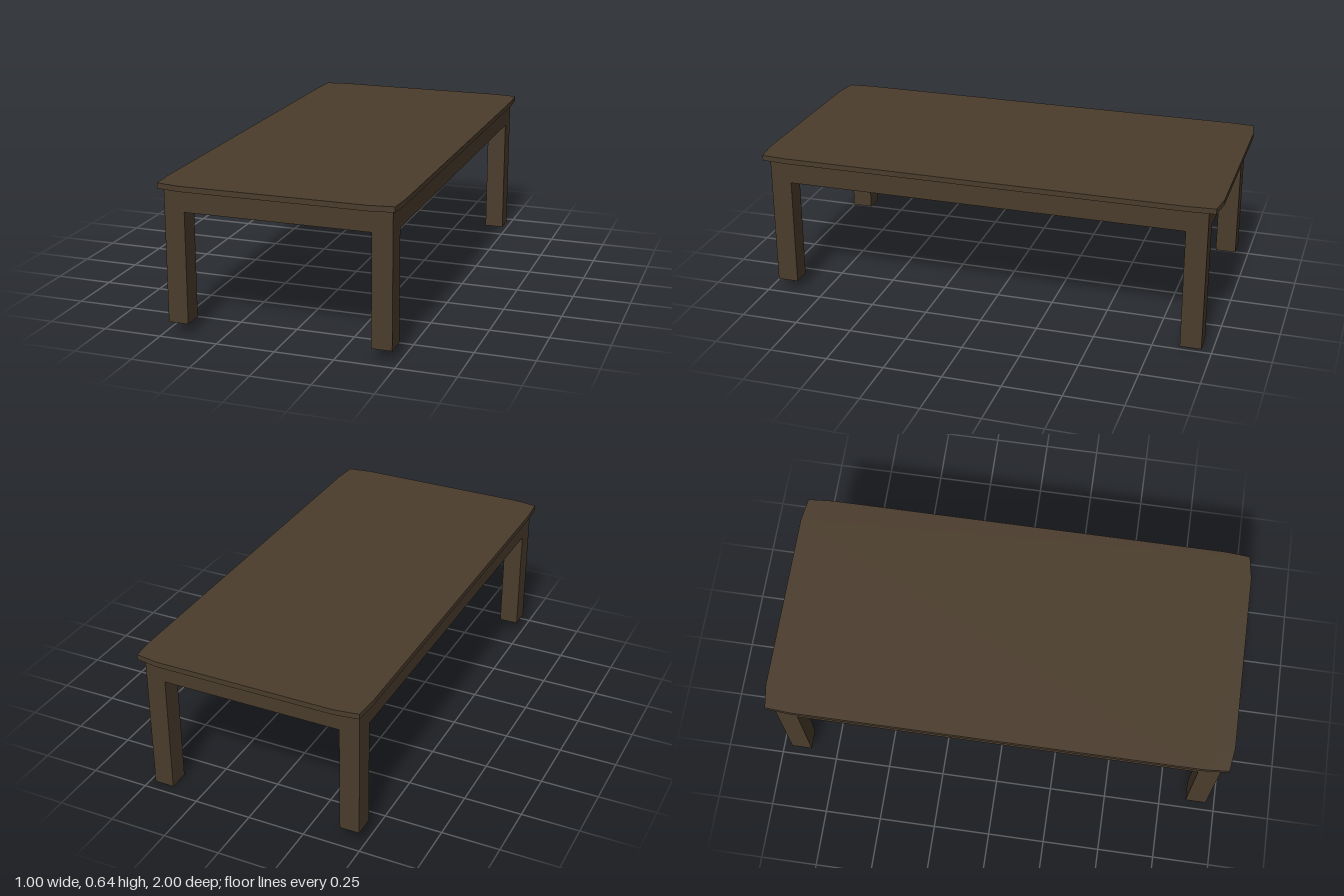
import * as THREE from 'three';

const wood = new THREE.MeshStandardMaterial({ color: 0x4a3c2c, flatShading: true });

// Box given by its minimum and maximum corners
function block(name, [x0, y0, z0], [x1, y1, z1]) {
  const mesh = new THREE.Mesh(new THREE.BoxGeometry(x1 - x0, y1 - y0, z1 - z0), wood);
  mesh.name = name;
  mesh.position.set((x0 + x1) / 2, (y0 + y1) / 2, (z0 + z1) / 2);
  return mesh;
}

export function createModel() {
  const table = new THREE.Group();
  table.name = 'table';

  const apronBottom = 0.525, topBottom = 0.622, topHeight = 0.645;
  const x0 = -0.478, x1 = 0.476, z0 = -0.954, z1 = 0.957;
  const legWidth = 0.086, legDepth = 0.091;

  // Table top: a slab with softly clipped corners
  const corner = [[0.5, 0.875], [0.492, 0.985], [0.39, 1]];
  const outline = [];
  for (const [sx, sz] of [[1, 1], [-1, 1], [-1, -1], [1, -1]]) {
    const points = corner.map(([x, z]) => new THREE.Vector2(x * sx, z * sz));
    outline.push(...(sx * sz > 0 ? points : points.reverse()));
  }
  const topGeometry = new THREE.ExtrudeGeometry(new THREE.Shape(outline), {
    depth: topHeight - topBottom, bevelEnabled: false,
  });
  topGeometry.rotateX(-Math.PI / 2);
  const top = new THREE.Mesh(topGeometry, wood);
  top.name = 'tableTop';
  top.position.y = topBottom;
  table.add(top);

  // Solid apron under the top, flush with the legs
  table.add(block('apron', [x0, apronBottom, z0], [x1, topBottom, z1]));

  // Four legs; the back left one reaches lower than the others
  for (const [side, lx] of [['Right', x0], ['Left', x1 - legWidth]]) {
    for (const [end, lz] of [['back', z0], ['front', z1 - legDepth]]) {
      const foot = side === 'Left' && end === 'back' ? 0 : 0.05;
      table.add(block(`${end}${side}Leg`, [lx, foot, lz], [lx + legWidth, apronBottom, lz + legDepth]));
    }
  }

  return table;
}
